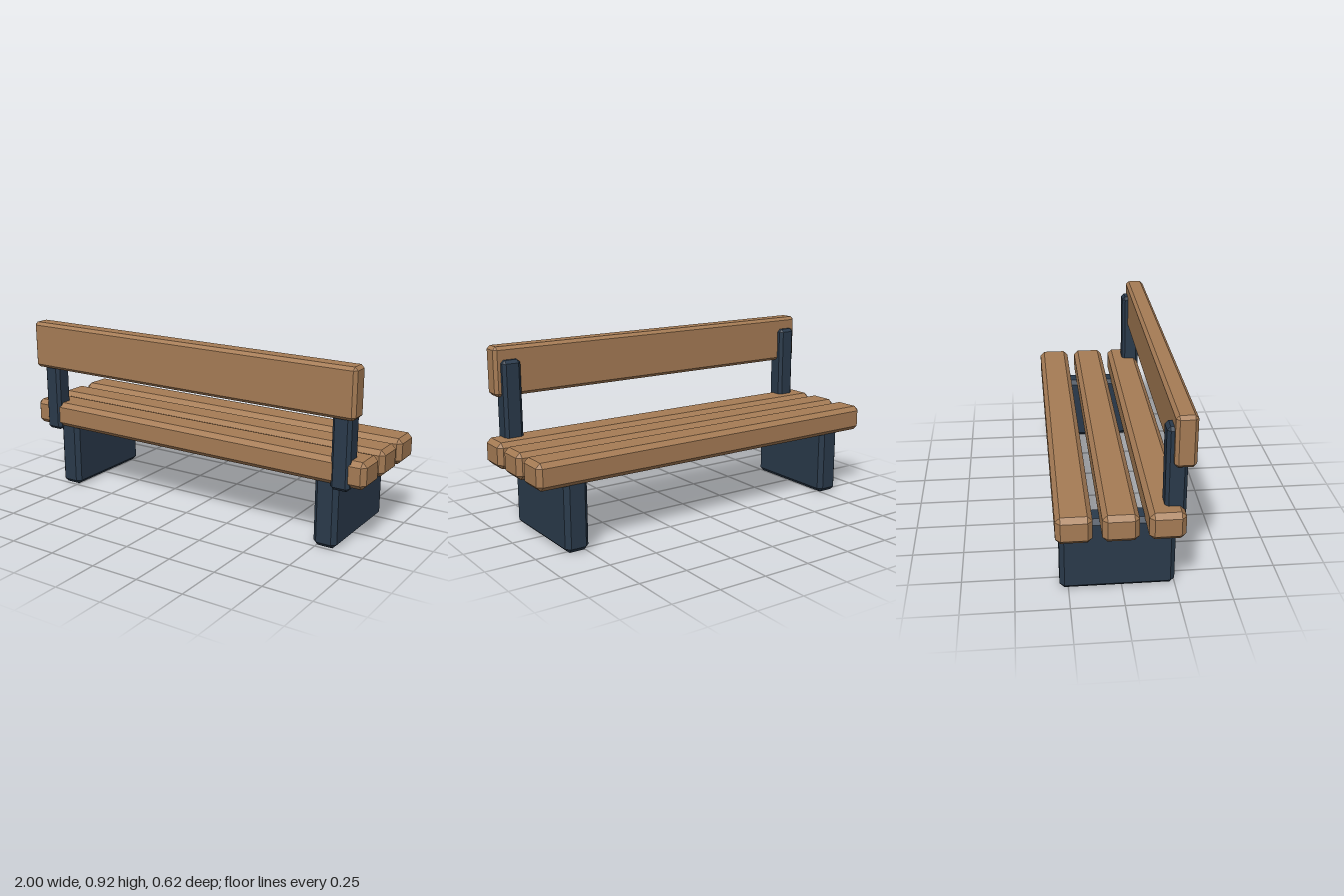
import * as THREE from 'three';
import { ConvexGeometry } from 'three/addons/geometries/ConvexGeometry.js';

const wood = new THREE.MeshStandardMaterial({ color: 0xa67c55 });
const metal = new THREE.MeshStandardMaterial({ color: 0x2a3a4b });

// Box with every edge cut at 45 degrees, given by its [min, max] ranges
function chamferBox(name, material, [x0, x1], [y0, y1], [z0, z1], c) {
  const half = [(x1 - x0) / 2, (y1 - y0) / 2, (z1 - z0) / 2];
  const points = [];
  for (const sx of [-1, 1]) for (const sy of [-1, 1]) for (const sz of [-1, 1]) {
    for (let axis = 0; axis < 3; axis++) {
      const h = half.map((v, i) => (i === axis ? v : v - c));
      points.push(new THREE.Vector3(sx * h[0], sy * h[1], sz * h[2]));
    }
  }
  const mesh = new THREE.Mesh(new ConvexGeometry(points), material);
  mesh.position.set((x0 + x1) / 2, (y0 + y1) / 2, (z0 + z1) / 2);
  mesh.name = name;
  return mesh;
}

export function createModel() {
  const bench = new THREE.Group();
  bench.name = 'bench';

  // Three seat planks
  [['seatPlankFront', 0.188], ['seatPlankMiddle', -0.02], ['seatPlankBack', -0.228]].forEach(([name, z]) =>
    bench.add(chamferBox(name, wood, [-1, 1], [0.335, 0.468], [z - 0.083, z + 0.083], 0.023)));

  // Backrest plank
  bench.add(chamferBox('backrest', wood, [-0.955, 0.955], [0.67, 0.918], [0.213, 0.312], 0.016));

  // Slab legs and backrest posts on both sides
  for (const [side, s] of [['left', 1], ['right', -1]]) {
    const span = (a, b) => (s > 0 ? [a, b] : [-b, -a]);
    bench.add(chamferBox(side + 'Leg', metal, span(0.732, 0.855), [0, 0.366], [-0.29, 0.25], 0.022));
    bench.add(chamferBox(side + 'Post', metal, span(0.827, 0.924), [0.315, 0.853], [0.181, 0.279], 0.016));
  }
  return bench;
}
